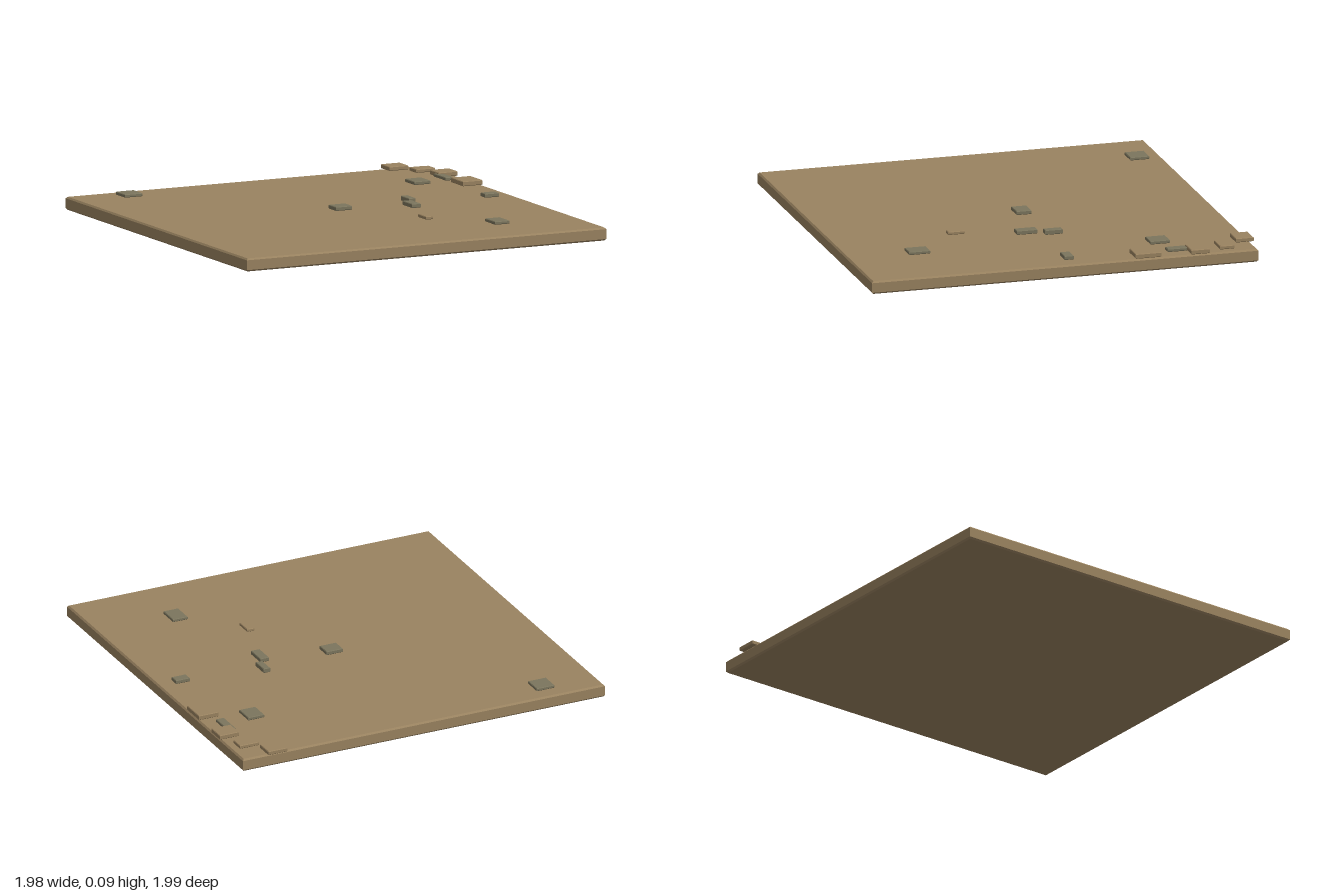
import * as THREE from 'three';

// Box with chamfered edges, spanning the given bounds
function chamferBox(x0, x1, y0, y1, z0, z1, c) {
  const w = x1 - x0, d = z1 - z0;
  const a = w / 2 - c, b = d / 2 - c;
  const shape = new THREE.Shape([
    new THREE.Vector2(-a, -b), new THREE.Vector2(a, -b),
    new THREE.Vector2(a, b), new THREE.Vector2(-a, b),
  ]);
  const geo = new THREE.ExtrudeGeometry(shape, {
    depth: y1 - y0 - 2 * c, bevelEnabled: true, bevelSegments: 1, bevelSize: c, bevelThickness: c,
  });
  geo.rotateX(-Math.PI / 2);
  geo.translate((x0 + x1) / 2, y0 + c, (z0 + z1) / 2);
  return geo;
}

export function createModel() {
  const model = new THREE.Group();
  model.name = 'groundTile';

  const earth = new THREE.MeshStandardMaterial({ color: 0x9a8360 });
  earth.name = 'earth';
  const stone = new THREE.MeshStandardMaterial({ color: 0x7b755d });
  stone.name = 'stone';

  function add(name, geo, material) {
    const mesh = new THREE.Mesh(geo, material);
    mesh.name = name;
    model.add(mesh);
  }

  // Ground slab
  const top = 0.065;
  add('groundSlab', chamferBox(-0.99, 0.985, 0, top, -0.985, 0.992, 0.008), earth);

  // Stones: x0, x1, z0, z1, top height
  const stones = [
    [-0.75, -0.652, -0.913, -0.815, 0.083],
    [0.68, 0.768, -0.597, -0.496, 0.084],
    [0.873, 0.917, -0.67, -0.541, 0.083],
    [0.004, 0.094, -0.089, -0.011, 0.087],
    [0.425, 0.462, -0.139, -0.049, 0.091],
    [0.375, 0.423, -0.022, 0.084, 0.088],
    [0.827, 0.904, -0.065, -0.017, 0.087],
    [0.525, 0.606, 0.582, 0.69, 0.083],
  ];
  // Clods of earth, most of them crowding the back left corner
  const clods = [
    [0.885, 0.99, -0.735, -0.64, 0.09],
    [0.843, 0.947, -0.873, -0.8, 0.085],
    [0.75, 0.854, -1, -0.908, 0.088],
    [0.877, 0.984, -0.488, -0.357, 0.091],
    [0.288, 0.328, 0.321, 0.408, 0.083],
  ];
  const scatter = (name, list, material) => list.forEach(([x0, x1, z0, z1, y1], i) =>
    add(name + (i + 1), chamferBox(x0, x1, top + 0.002, y1, z0, z1, 0.003), material));
  scatter('stone', stones, stone);
  scatter('earthClod', clods, earth);

  return model;
}
